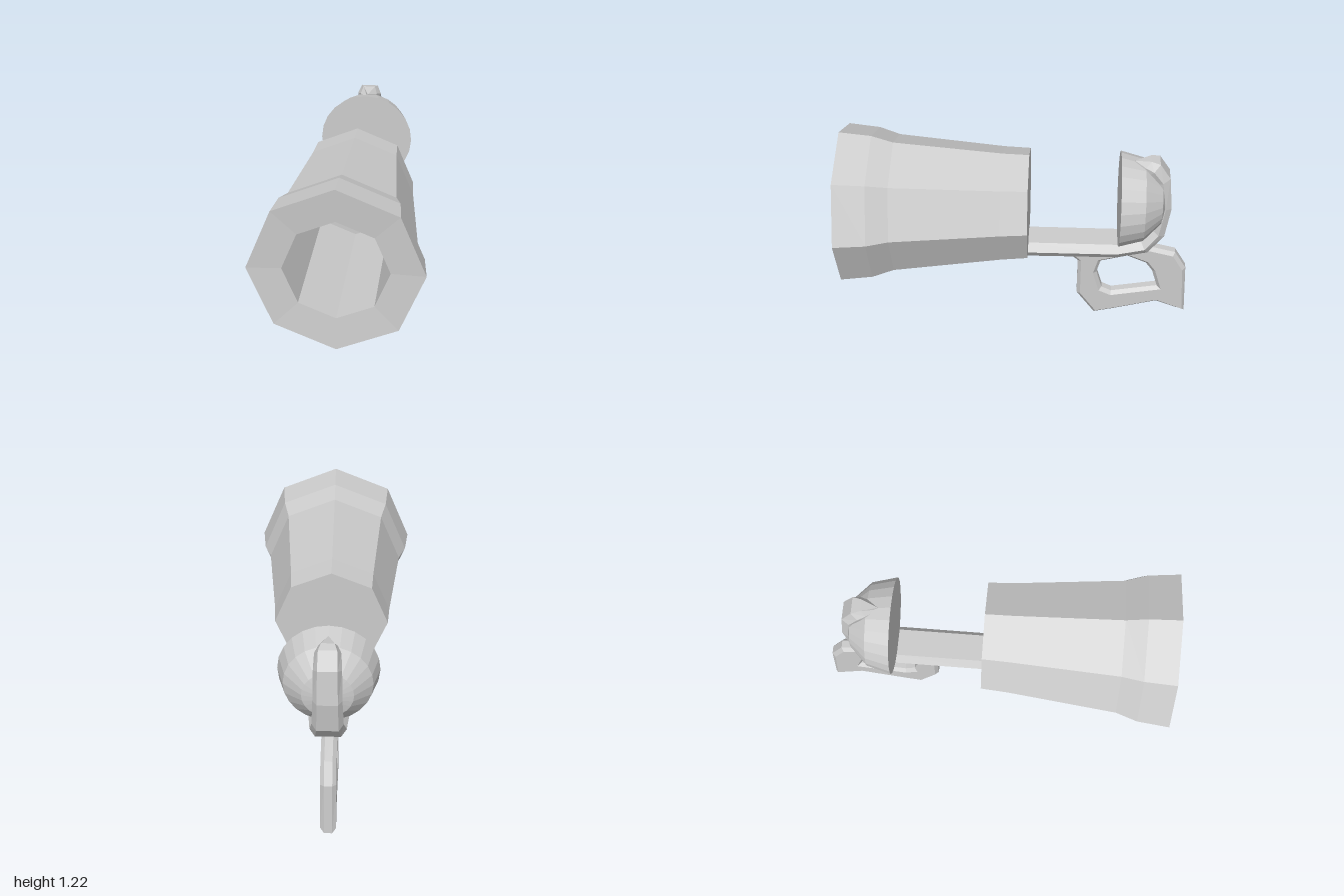
import * as THREE from 'three';

const material = new THREE.MeshStandardMaterial({ color: 0xcccccc, flatShading: true });

// Joins rings of points (counter-clockwise seen from the start) and caps both ends.
function loft(rings) {
  const pos = [];
  const tri = (...pts) => pts.forEach((p) => pos.push(p.x, p.y, p.z));
  const middle = (ring) => ring.reduce((s, p) => s.add(p), new THREE.Vector3()).divideScalar(ring.length);
  const n = rings[0].length;
  const first = rings[0], last = rings[rings.length - 1];
  const c0 = middle(first), c1 = middle(last);
  for (let j = 0; j < n; j++) {
    const k = (j + 1) % n;
    tri(c0, first[j], first[k]);
    for (let i = 0; i + 1 < rings.length; i++) {
      const a = rings[i], b = rings[i + 1];
      tri(a[j], b[j], a[k]);
      tri(a[k], b[j], b[k]);
    }
    tri(c1, last[k], last[j]);
  }
  const geometry = new THREE.BufferGeometry();
  geometry.setAttribute('position', new THREE.Float32BufferAttribute(pos, 3));
  geometry.computeVertexNormals();
  return geometry;
}

// Regular polygon ring standing across the z axis.
function ring(sides, z, y, r) {
  return Array.from({ length: sides }, (_, i) => {
    const a = (i / sides) * Math.PI * 2;
    return new THREE.Vector3(Math.cos(a) * r, y + Math.sin(a) * r, z);
  });
}

function addPart(group, name, geometry) {
  const mesh = new THREE.Mesh(geometry, material);
  mesh.name = name;
  group.add(mesh);
}

export function createModel() {
  const group = new THREE.Group();

  // Octagonal barrel: bore floor, bore mouth, rim, then the outside to the back
  const barrel = [
    [0.05, 0.76, 0.278], [0.985, 0.76, 0.278], [1, 0.762, 0.459], [0.82, 0.763, 0.439],
    [0.7, 0.765, 0.398], [0.09, 0.777, 0.331], [-0.06, 0.781, 0.321],
  ];
  addPart(group, 'barrel', loft(barrel.map(([z, y, r]) => ring(8, z, y, r))));

  // Half dome with its flat side to the front
  const dome = [0, 30, 60, 89.7].map((deg) => {
    const a = THREE.MathUtils.degToRad(deg);
    return ring(24, -0.575 - Math.sin(a) * 0.275, 0.823, Math.cos(a) * 0.275);
  });
  addPart(group, 'dome', loft(dome));

  // Rail that bends up behind the dome and tapers to a point on top
  // outer z, outer y, inner z, inner y, half width
  const rail = [
    [-0.05, 0.46, -0.05, 0.555, 0.113],
    [-0.57, 0.465, -0.57, 0.555, 0.113],
    [-0.75, 0.5, -0.71, 0.575, 0.1],
    [-0.84, 0.61, -0.77, 0.65, 0.085],
    [-0.87, 0.8, -0.8, 0.81, 0.078],
    [-0.85, 1.0, -0.77, 0.96, 0.075],
    [-0.79, 1.09, -0.72, 1.01, 0.07],
    [-0.74, 1.1, -0.68, 1.03, 0.05],
    [-0.65, 1.083, -0.64, 1.04, 0.002],
  ];
  const section = [[1, 0.5], [0.7, 1], [-0.7, 1], [-1, 0.5], [-0.7, 0], [0.7, 0]];
  addPart(group, 'railAndStrap', loft(rail.map(([oz, oy, iz, iy, w]) =>
    section.map(([s, t]) => new THREE.Vector3(
      s * w, THREE.MathUtils.lerp(oy, iy, t), THREE.MathUtils.lerp(oz, iz, t))))));

  // Bevelled handle with a finger hole; outline runs from front to back
  const toPoints = (list) => list.map(([x, y]) => new THREE.Vector2(x, y));
  const shape = new THREE.Shape(toPoints([
    [0.24, 0.485], [0.26, 0.468], [0.35, 0.39], [0.35, 0.15], [0.457, 0.003], [0.57, 0.03],
    [0.826, 0.1], [1, 0.035], [0.985, 0.355], [0.917, 0.467], [0.757, 0.505],
  ]));
  shape.holes.push(new THREE.Path(toPoints([
    [0.485, 0.39], [0.64, 0.432], [0.75, 0.385], [0.79, 0.33],
    [0.825, 0.217], [0.555, 0.168], [0.497, 0.195], [0.463, 0.31],
  ])));
  const handle = new THREE.ExtrudeGeometry(shape, {
    depth: 0.044, bevelEnabled: true, bevelThickness: 0.021,
    bevelSize: 0.02, bevelOffset: -0.02, bevelSegments: 1,
  });
  handle.translate(0, 0, -0.029).rotateY(Math.PI / 2);
  addPart(group, 'handle', handle);

  return group;
}
